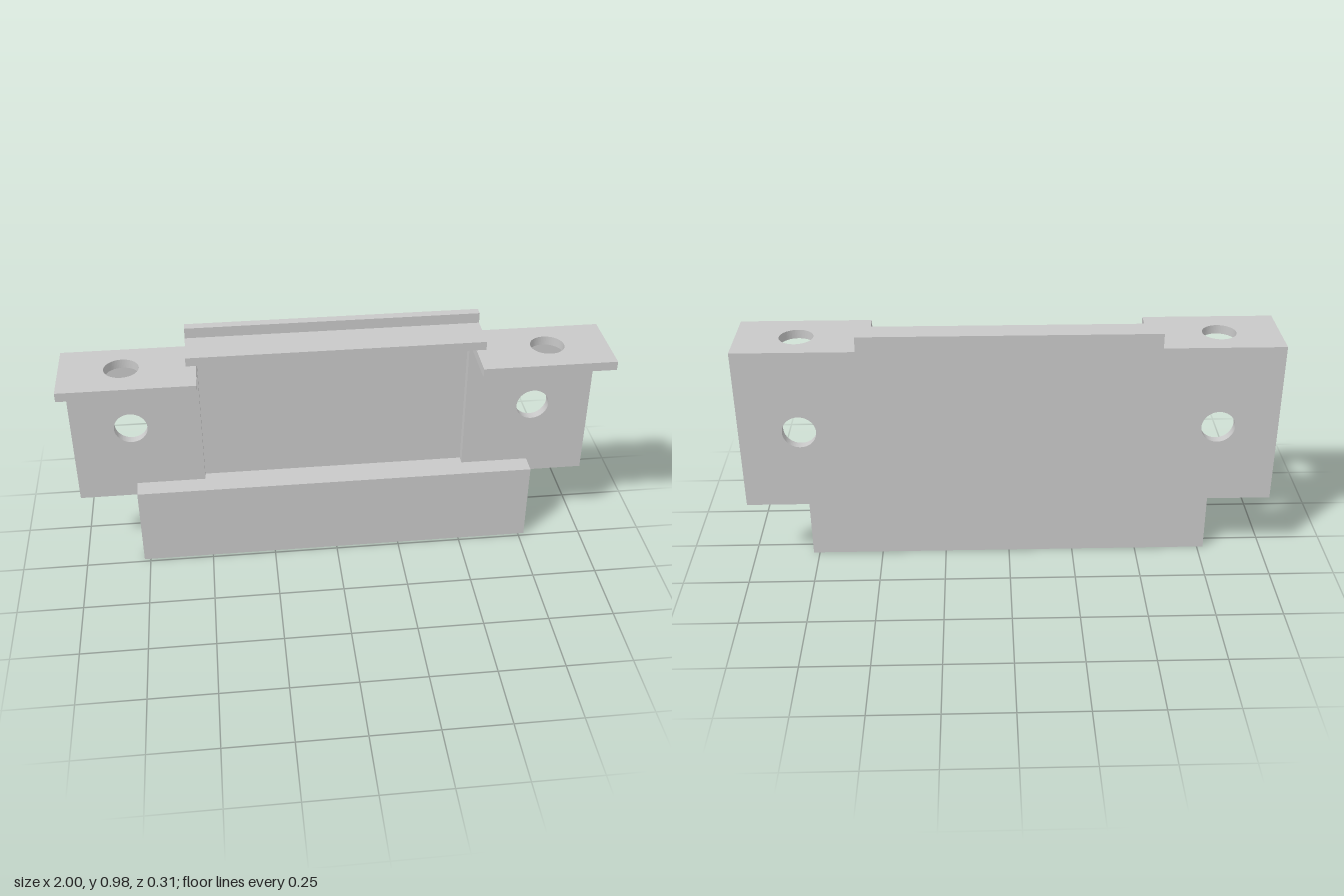
import * as THREE from 'three';

export function createModel() {
  const model = new THREE.Group();
  model.name = 'mountingBracket';
  const metal = new THREE.MeshStandardMaterial({ color: 0xc8c8c8 });
  metal.name = 'plain light grey metal';

  const add = (parent, name, geometry) => {
    const mesh = new THREE.Mesh(geometry, metal);
    mesh.name = name;
    parent.add(mesh);
    return mesh;
  };

  // Box given by its limits on each axis
  const block = (parent, name, [x0, x1], [y0, y1], [z0, z1]) =>
    add(parent, name, new THREE.BoxGeometry(x1 - x0, y1 - y0, z1 - z0))
      .position.set((x0 + x1) / 2, (y0 + y1) / 2, (z0 + z1) / 2);

  // Flat plate with one round hole, extruded along +z
  const drilledPlate = ([u0, u1], [v0, v1], hu, hv, radius, depth) => {
    const shape = new THREE.Shape([
      new THREE.Vector2(u0, v0), new THREE.Vector2(u1, v0),
      new THREE.Vector2(u1, v1), new THREE.Vector2(u0, v1),
    ]);
    const hole = new THREE.Path();
    hole.absarc(hu, hv, radius, 0, Math.PI * 2, true);
    shape.holes.push(hole);
    return new THREE.ExtrudeGeometry(shape, { depth, bevelEnabled: false, curveSegments: 32 });
  };

  // Central plate with its forward ledge
  block(model, 'backPlate', [-0.547, 0.547], [0.269, 0.979], [-0.157, -0.123]);
  block(model, 'topLedge', [-0.547, 0.547], [0.906, 0.939], [-0.123, 0.022]);

  // Lower angle bar, with its shelf reaching back to the plates
  block(model, 'lowerBar', [-0.774, 0.774], [0, 0.324], [-0.058, -0.013]);
  block(model, 'lowerShelf', [-0.774, 0.774], [0.269, 0.324], [-0.089, -0.058]);
  block(model, 'shelfInfill', [-0.51, 0.51], [0.269, 0.324], [-0.123, -0.089]);

  // Pair of drilled angle brackets
  for (const side of [-1, 1]) {
    const bracket = new THREE.Group();
    bracket.name = side > 0 ? 'leftAngleBracket' : 'rightAngleBracket';
    model.add(bracket);
    const span = side > 0 ? [0.51, 1] : [-1, -0.51];
    add(bracket, 'uprightPlate',
      drilledPlate(span, [0.269, 0.872], side * 0.776, 0.582, 0.063, 0.034)).position.z = -0.123;
    add(bracket, 'topFlange',
      drilledPlate(span, [-0.123, 0.157], side * 0.776, 0.012, 0.063, 0.034)
        .rotateX(Math.PI / 2)).position.y = 0.906;
  }
  return model;
}
